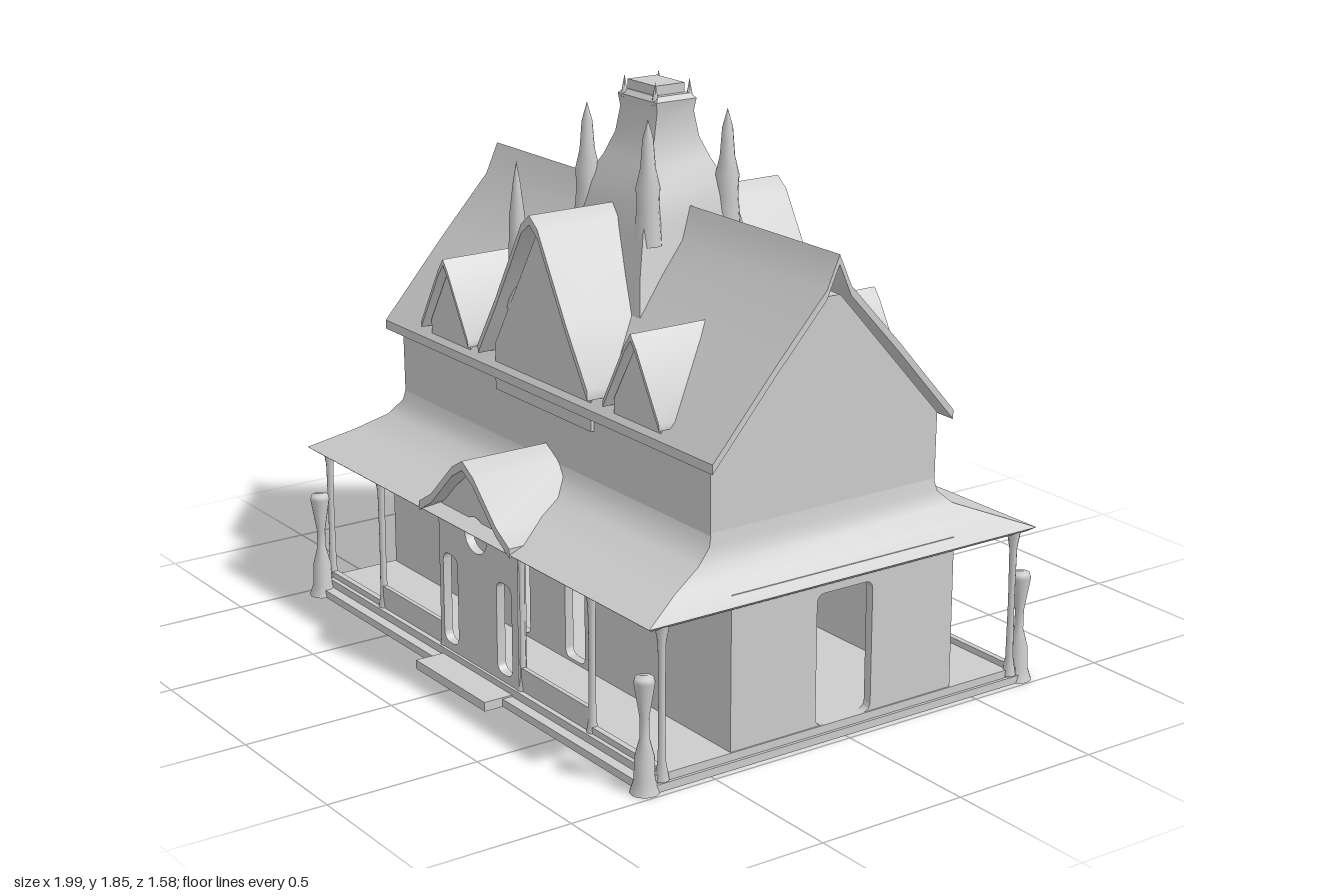
import * as THREE from 'three';
import { toCreasedNormals } from 'three/addons/utils/BufferGeometryUtils.js';

const material = new THREE.MeshStandardMaterial({ color: 0xcccccc, side: THREE.DoubleSide });

export function createModel() {
  const house = new THREE.Group();
  house.name = 'house';

  function add(name, geometry, x = 0, y = 0, z = 0, parent = house) {
    const mesh = new THREE.Mesh(geometry, material);
    mesh.name = name;
    mesh.position.set(x, y, z);
    parent.add(mesh);
    return mesh;
  }
  const box = (w, h, d) => new THREE.BoxGeometry(w, h, d);
  const shapeOf = (pts) => new THREE.Shape(pts.map(([x, y]) => new THREE.Vector2(x, y)));

  // Outline in x and y, extruded from z0 to z1
  function slab(shape, z0, z1) {
    const g = new THREE.ExtrudeGeometry(shape, { depth: z1 - z0, bevelEnabled: false, curveSegments: 10 });
    g.translate(0, 0, z0);
    return toCreasedNormals(g, 0.6);
  }

  // Round-cornered opening
  function opening(cx, y0, y1, halfWidth, r) {
    const p = new THREE.Path();
    const [a, b] = [cx - halfWidth, cx + halfWidth];
    p.moveTo(a + r, y0);
    p.lineTo(b - r, y0);
    p.quadraticCurveTo(b, y0, b, y0 + r);
    p.lineTo(b, y1 - r);
    p.quadraticCurveTo(b, y1, b - r, y1);
    p.lineTo(a + r, y1);
    p.quadraticCurveTo(a, y1, a, y1 - r);
    p.lineTo(a, y0 + r);
    p.quadraticCurveTo(a, y0, a + r, y0);
    return p;
  }

  // Two-sided roof sheet; half holds points from ridge to eave
  function gableRoof(half, thickness, z0, z1) {
    const left = half.slice(1).reverse().map(([x, y]) => [-x, y]);
    const upper = [...left, ...half];
    const lower = upper.map(([x, y]) => [x, y - thickness]).reverse();
    return slab(shapeOf([...upper, ...lower]), z0, z1);
  }

  // Skin over a stack of rectangles [halfX, y, halfZ]
  function rectLoft(rings, cap = false) {
    const pos = [];
    const corners = ([x, y, z]) => [[x, y, z], [x, y, -z], [-x, y, -z], [-x, y, z]];
    for (let i = 0; i < rings.length - 1; i++) {
      const a = corners(rings[i]), b = corners(rings[i + 1]);
      for (let k = 0; k < 4; k++) {
        const n = (k + 1) % 4;
        pos.push(...a[k], ...a[n], ...b[n], ...a[k], ...b[n], ...b[k]);
      }
    }
    if (cap) {
      const t = corners(rings[rings.length - 1]);
      pos.push(...t[0], ...t[1], ...t[2], ...t[0], ...t[2], ...t[3]);
    }
    const g = new THREE.BufferGeometry();
    g.setAttribute('position', new THREE.Float32BufferAttribute(pos, 3));
    return toCreasedNormals(g, 0.7);
  }

  const lathe = (pts, n = 14) =>
    new THREE.LatheGeometry(pts.map(([r, y]) => new THREE.Vector2(r, y)), n);

  // Ground slab, porch floor and steps
  add('baseSlab', box(1.96, 0.025, 1.45), 0, 0.0125);
  add('porchFloor', box(1.94, 0.03, 1.38), 0, 0.035);
  add('steps', box(0.41, 0.03, 1.58), 0, 0.015);

  // Ground floor end walls with open doorways
  for (const s of [-1, 1]) {
    const shape = shapeOf([[-0.42, 0.02], [0.42, 0.02], [0.42, 0.54], [-0.42, 0.54]]);
    shape.holes.push(opening(0, 0.05, 0.47, 0.105, 0.03));
    const wall = add('endWall', slab(shape, -0.015, 0.015), s * 0.95);
    wall.rotation.y = Math.PI / 2;
  }

  // Upper storey with its end gables
  const upper = add('upperStorey', slab(shapeOf([
    [-0.42, 0.51], [0.42, 0.51], [0.425, 0.91], [0.04, 1.34], [-0.04, 1.34], [-0.425, 0.91],
  ]), -0.865, 0.865));
  upper.rotation.y = Math.PI / 2;

  // Main roof
  const roof = add('mainRoof', gableRoof([[0, 1.475], [0.045, 1.375], [0.23, 1.175], [0.45, 0.925]], 0.03, -0.935, 0.91));
  roof.rotation.y = Math.PI / 2;

  // Porch roof all round, with a sloping top and a flat underside
  add('porchRoof', rectLoft([
    [0.86, 0.52, 0.41], [0.975, 0.5, 0.71], [0.995, 0.515, 0.73],
    [0.925, 0.57, 0.59], [0.885, 0.615, 0.48], [0.87, 0.66, 0.43], [0.86, 0.74, 0.41],
  ]));

  // Front half; the back repeats it mirrored
  for (const side of [1, -1]) {
    const half = new THREE.Group();
    half.name = side > 0 ? 'frontSide' : 'backSide';
    half.scale.z = side;
    house.add(half);
    const put = (name, g, x, y, z) => add(name, g, x, y, z, half);

    // Ground floor long wall
    const wall = shapeOf([[-0.96, 0.02], [0.96, 0.02], [0.96, 0.54], [-0.96, 0.54]]);
    for (const x of [-0.165, 0.15]) wall.holes.push(opening(x, 0.06, 0.4, 0.055, 0.03));
    put('longWall', slab(wall, 0.39, 0.42));

    // Entry front with two side openings and a round window
    const entry = shapeOf([[-0.23, 0.02], [0.23, 0.02], [0.23, 0.53], [0, 0.71], [-0.23, 0.53]]);
    for (const x of [-0.165, 0.15]) entry.holes.push(opening(x, 0.075, 0.375, 0.043, 0.035));
    const eye = new THREE.Path();
    eye.absellipse(-0.01, 0.485, 0.065, 0.06, 0, Math.PI * 2);
    entry.holes.push(eye);
    put('entryFront', slab(entry, 0.65, 0.68));
    put('entryRoof', gableRoof([[0, 0.74], [0.06, 0.705], [0.19, 0.58], [0.265, 0.535]], 0.03, 0.4, 0.73));

    // Thin posts and low rails
    for (const x of [-0.965, -0.62, -0.225, 0.225, 0.61, 0.965])
      put('porchPost', lathe([[0.022, 0], [0.012, 0.06], [0.01, 0.25], [0.012, 0.42], [0.024, 0.49]], 10), x, 0.03, 0.665);
    for (const s of [-1, 1]) {
      put('porchRail', box(0.39, 0.08, 0.015), s * 0.42, 0.085, 0.665);
      put('porchCurb', box(0.36, 0.03, 0.02), s * 0.79, 0.055, 0.665);
      put('cornerBaluster', lathe([
        [0.045, 0], [0.032, 0.04], [0.03, 0.11], [0.014, 0.17], [0.014, 0.23], [0.032, 0.34], [0.028, 0.355], [0, 0.36],
      ]), s * 0.95, 0, 0.715);
    }

    // Large central gable
    put('centralGableWall', slab(shapeOf([[-0.27, 0.85], [0.27, 0.85], [0.27, 1.0], [0, 1.44], [-0.27, 1.0]]), 0.1, 0.435));
    put('centralGableRoof', gableRoof([[0, 1.475], [0.045, 1.44], [0.2, 1.17], [0.31, 0.995]], 0.03, 0, 0.475));

    // Pair of small dormers
    for (const x of [-0.54, 0.515]) {
      put('dormerWall', slab(shapeOf([[-0.12, 0.9], [0.12, 0.9], [0.12, 0.99], [0, 1.19], [-0.12, 0.99]]), 0.2, 0.435), x);
      put('dormerRoof', gableRoof([[0, 1.22], [0.03, 1.18], [0.145, 0.98]], 0.02, 0.17, 0.46), x);
    }
  }

  // Flared tower over the crossing
  add('tower', rectLoft([
    [0.25, 1.15, 0.24], [0.215, 1.28, 0.215], [0.19, 1.42, 0.185], [0.165, 1.52, 0.155],
    [0.125, 1.6, 0.115], [0.105, 1.67, 0.085], [0.098, 1.75, 0.07], [0.105, 1.79, 0.075], [0.09, 1.805, 0.06],
  ], true));
  add('towerCap', box(0.15, 0.04, 0.11), -0.005, 1.815);
  const spire = lathe([[0.045, 0], [0.035, 0.12], [0.038, 0.18], [0.024, 0.24], [0.017, 0.33], [0, 0.39]], 12);
  for (const x of [-0.165, 0.165]) {
    for (const z of [-0.15, 0.15]) {
      add('towerSpire', spire, x, 1.37, z);
      add('crownTip', new THREE.ConeGeometry(0.014, 0.07, 6), x * 0.5, 1.815, z * 0.43);
    }
  }
  // Single spire standing on the front gable
  add('gableSpire', lathe([[0.035, 0], [0.028, 0.18], [0.024, 0.3], [0.012, 0.4], [0, 0.47]], 12), -0.185, 1.13, 0.4);

  return house;
}
